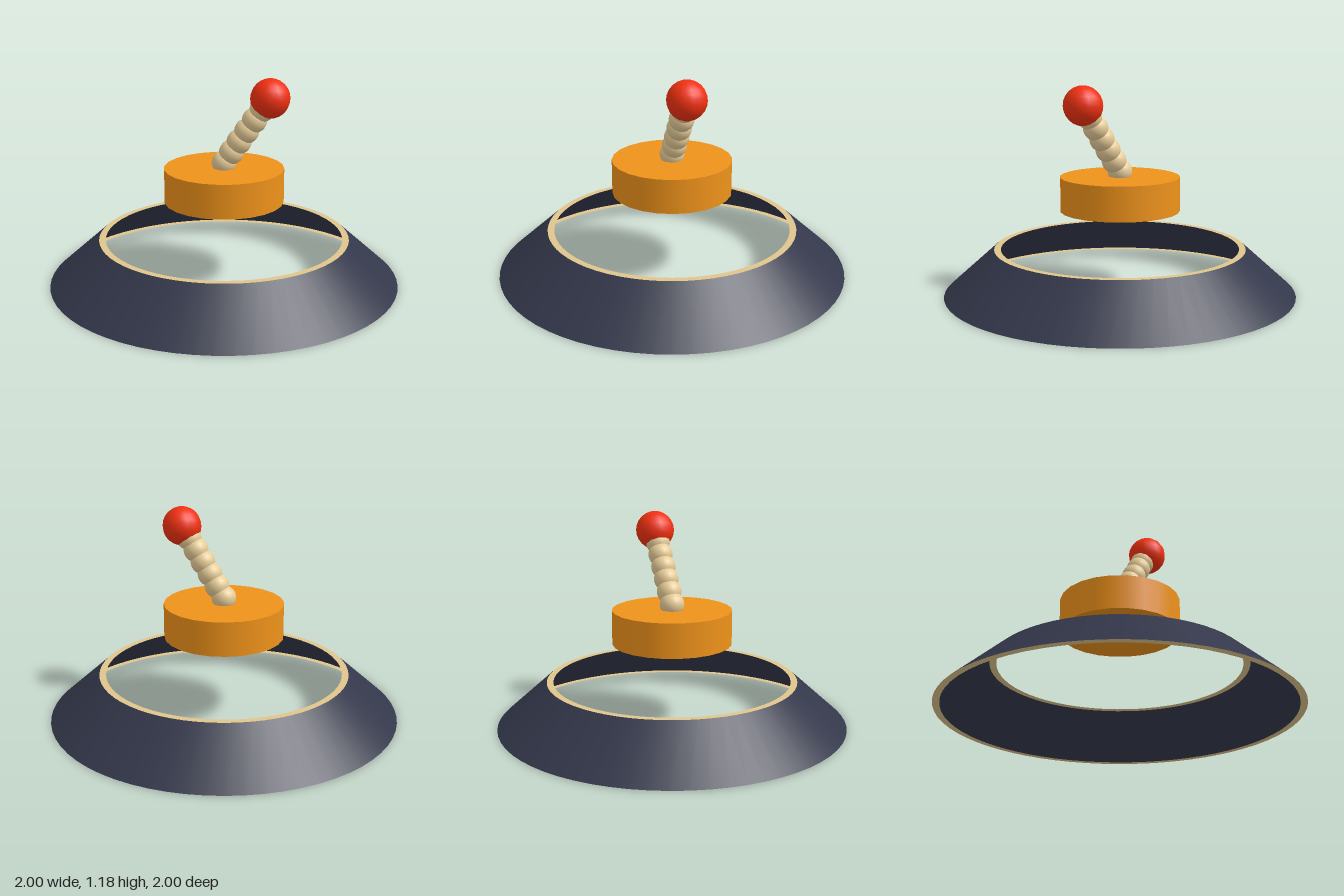
import * as THREE from 'three';

export function createModel() {
  const group = new THREE.Group();
  const paint = (color, side = THREE.FrontSide) => new THREE.MeshStandardMaterial({ color, side });
  const navy = paint(0x33374a, THREE.DoubleSide);
  const tanFlat = paint(0xe0c48c, THREE.DoubleSide);
  const tan = paint(0xe6cc98);
  const orange = paint(0xee921a);
  const red = paint(0xf03010);

  const add = (name, geometry, material, x = 0, y = 0, z = 0, parent = group) => {
    const mesh = new THREE.Mesh(geometry, material);
    mesh.name = name;
    mesh.position.set(x, y, z);
    parent.add(mesh);
    return mesh;
  };

  // Open sloping skirt with a thin flat ring at each edge
  const height = 0.255;
  add('skirt', new THREE.CylinderGeometry(0.715, 1, height, 64, 1, true), navy, 0, height / 2);
  const ring = (name, inner, outer, y, up) => {
    const geometry = new THREE.RingGeometry(inner, outer, 64).rotateX(up ? -Math.PI / 2 : Math.PI / 2);
    add(name, geometry, tanFlat, 0, y);
  };
  ring('topRim', 0.677, 0.715, height, true);
  ring('bottomRim', 0.962, 1, 0, false);

  // Floating disc
  add('disc', new THREE.CylinderGeometry(0.34, 0.34, 0.195, 24), orange, 0, 0.563);

  // Leaning stalk of overlapping beads, ending in a ball
  const start = new THREE.Vector3(0, 0.69, 0);
  const end = new THREE.Vector3(0.267, 1.075, 0);
  const stalk = new THREE.Group();
  stalk.name = 'stalk';
  group.add(stalk);
  const bead = new THREE.SphereGeometry(0.07, 20, 14);
  for (let i = 0; i < 6; i++) {
    const p = start.clone().lerp(end, i / 6);
    add('bead', bead, tan, p.x, p.y, p.z, stalk);
  }
  add('ball', new THREE.SphereGeometry(0.11, 16, 12), red, end.x, end.y, end.z);

  return group;
}
